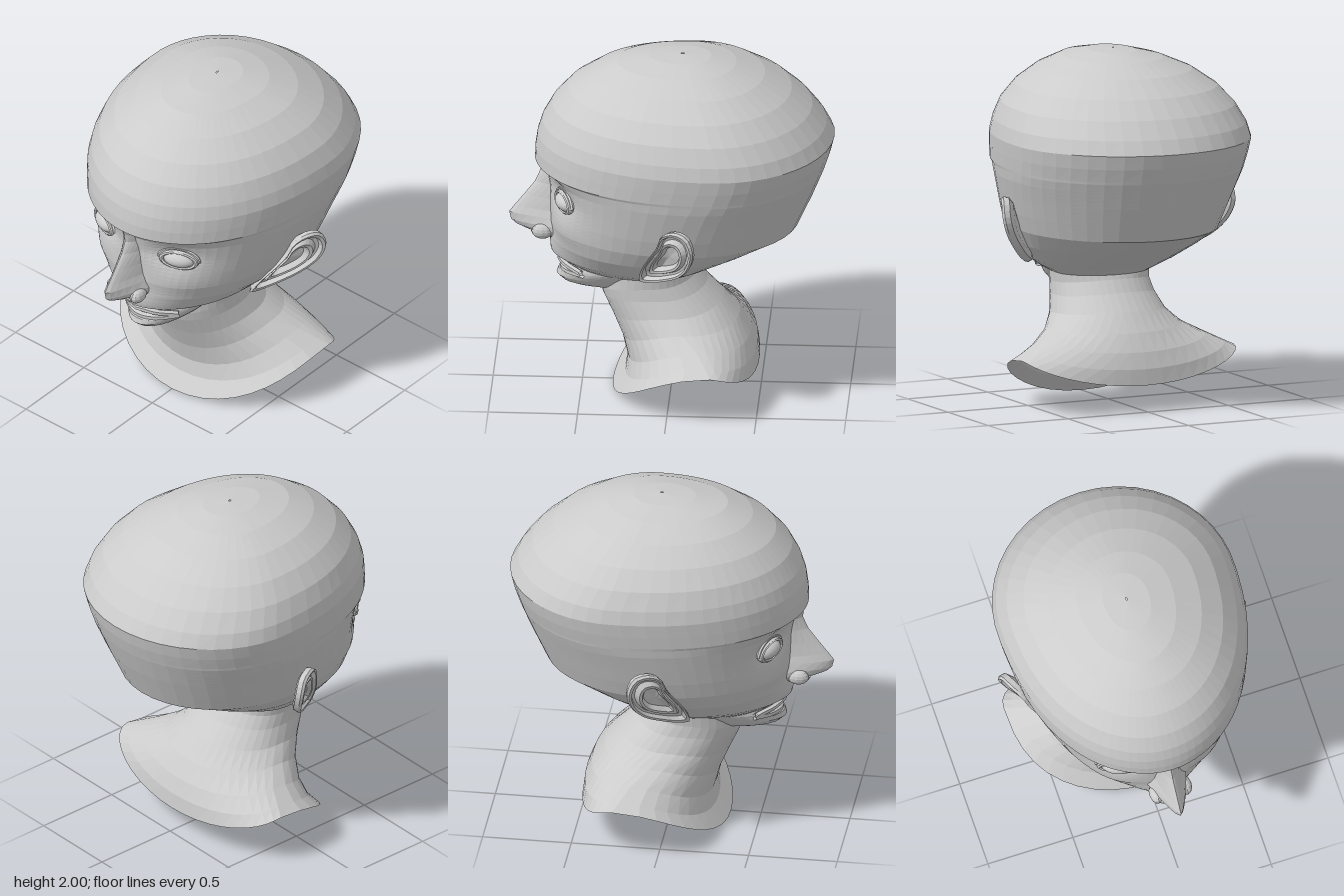
import * as THREE from 'three';

const skin = new THREE.MeshStandardMaterial({ color: 0xcccccc, flatShading: true, side: THREE.DoubleSide });
const smooth = new THREE.MeshStandardMaterial({ color: 0xcccccc });

function named(geometry, name, material = skin) {
  const mesh = new THREE.Mesh(geometry, material);
  mesh.name = name;
  return mesh;
}

// Skin a surface over rows of [x, y, z] points
function loft(rows, closed) {
  const n = rows[0].length, index = [];
  for (let r = 0; r < rows.length - 1; r++) {
    for (let c = 0; c < (closed ? n : n - 1); c++) {
      const a = r * n + c, b = r * n + (c + 1) % n;
      index.push(a, b, b + n, a, b + n, a + n);
    }
  }
  const g = new THREE.BufferGeometry();
  g.setAttribute('position', new THREE.Float32BufferAttribute(rows.flat(2), 3));
  g.setIndex(index);
  g.computeVertexNormals();
  return g;
}

function tube(points, radius, name) {
  const curve = new THREE.CatmullRomCurve3(points.map(p => new THREE.Vector3(...p)));
  return named(new THREE.TubeGeometry(curve, 20, radius, 6), name);
}

const bump = (x, y, cx, cy, rx, ry) => Math.exp(-(((x - cx) / rx) ** 2) - ((y - cy) / ry) ** 2);

// Skull and face: y, half width, z of the widest point, front z, back z
const headRows = [
  [0.72, 0.005, 0.1, 0.105, 0.095], [0.72, 0.27, 0.08, 0.54, -0.13], [0.76, 0.34, 0.06, 0.59, -0.2],
  [0.8, 0.4, 0.03, 0.64, -0.28], [0.9, 0.5, -0.02, 0.665, -0.5], [1.0, 0.565, -0.08, 0.68, -0.71],
  [1.1, 0.6, -0.1, 0.68, -0.755], [1.2, 0.63, -0.13, 0.685, -0.8], [1.3, 0.66, -0.17, 0.7, -0.84],
  [1.35, 0.67, -0.2, 0.735, -0.86], [1.365, 0.673, -0.2, 0.765, -0.865], [1.44, 0.685, -0.23, 0.762, -0.89],
  [1.52, 0.695, -0.25, 0.75, -0.91], [1.6, 0.677, -0.24, 0.725, -0.865], [1.7, 0.63, -0.2, 0.67, -0.785],
  [1.8, 0.545, -0.17, 0.58, -0.67], [1.89, 0.42, -0.13, 0.45, -0.52], [1.955, 0.27, -0.1, 0.31, -0.36],
  [1.99, 0.13, -0.07, 0.13, -0.22], [2.0, 0.004, -0.06, -0.05, -0.07],
];

function headGeometry() {
  const cols = 56, rows = [];
  const ring = ([y, w, zc, front, back]) => Array.from({ length: cols }, (_, i) => {
    const u = i / cols * Math.PI * 2, t = u - 0.4 * Math.sin(u);
    const c = Math.cos(t), x = w * Math.sin(t);
    let z = zc + (c > 0 ? (front - zc) * c ** 0.93 : (zc - back) * c);
    if (c > 0) { // eye sockets, cheeks and muzzle
      const ax = Math.abs(x);
      z += c * (0.035 * bump(x, y, 0, 0.81, 0.2, 0.09) + 0.02 * bump(ax, y, 0.32, 1.03, 0.12, 0.09)
        - 0.05 * bump(ax, y, 0.25, 1.23, 0.13, 0.08));
    }
    return [x, y, z];
  });
  headRows.forEach((row, i) => {
    const next = headRows[i + 1], steps = !next || row[0] > 1.34 || i === 0 ? 1 : 4;
    for (let k = 0; k < steps; k++) rows.push(ring(row.map((v, j) => next ? v + (next[j] - v) * k / steps : v)));
  });
  return loft(rows, true);
}

// Neck and shoulders: front z, y; side x, y, z; back z, y
const neckRows = [
  [0.33, 0.0, 0.66, 0.3, -0.25, -0.49, 0.15], [0.26, 0.09, 0.6, 0.33, -0.22, -0.48, 0.24],
  [0.245, 0.18, 0.5, 0.38, -0.17, -0.445, 0.33], [0.275, 0.3, 0.39, 0.44, -0.08, -0.38, 0.43],
  [0.33, 0.43, 0.32, 0.51, 0.0, -0.29, 0.535], [0.385, 0.55, 0.285, 0.6, 0.06, -0.2, 0.63],
  [0.4, 0.6, 0.275, 0.67, 0.1, -0.15, 0.7], [0.4, 0.73, 0.28, 0.74, 0.1, -0.13, 0.74],
];

function neckGeometry() {
  return loft(neckRows.map(([fz, fy, sx, sy, sz, bz, by], r) => Array.from({ length: 40 }, (_, i) => {
    const t = i / 40 * Math.PI * 2, c = Math.abs(Math.cos(t)), front = Math.cos(t) > 0;
    const q = front ? 0.71 + 0.29 * r / 7 : 0.9, p = c ** 1.5;
    return [sx * Math.sin(t), sy + ((front ? fy : by) - sy) * p, sz + ((front ? fz : bz) - sz) * c ** q];
  })), true);
}

// Lower jaw: y, half width, front z
function chinGeometry() {
  const rows = [[0.565, 0.06, 0.38], [0.585, 0.12, 0.46], [0.605, 0.155, 0.57], [0.617, 0.17, 0.61],
    [0.65, 0.2, 0.645], [0.68, 0.225, 0.635], [0.705, 0.245, 0.6], [0.73, 0.255, 0.57]];
  return loft(rows.map(([y, w, f]) => Array.from({ length: 21 }, (_, i) => {
    const t = (i / 20 - 0.5) * Math.PI;
    return [w * Math.sin(t), y + 0.02 * (1 - Math.cos(t)), 0.2 + (f - 0.2) * Math.cos(t)];
  })), false);
}

// Nose: y, half width, ridge z
function noseGeometry() {
  const rows = [[0.862, 0.05, 0.68], [0.885, 0.1, 0.735], [0.915, 0.125, 0.82], [0.94, 0.13, 0.875],
    [0.965, 0.128, 0.9], [1.01, 0.11, 0.91], [1.05, 0.095, 0.88], [1.12, 0.085, 0.825],
    [1.2, 0.08, 0.765], [1.27, 0.085, 0.735], [1.32, 0.1, 0.74], [1.36, 0.12, 0.755]];
  return loft(rows.map(([y, w, f]) => Array.from({ length: 13 }, (_, i) => {
    const s = i / 6 - 1;
    return [w * s, y, 0.61 + (f - 0.61) * (1 - Math.abs(s) ** 1.5)];
  })), false);
}

// Ear outline, from the lobe up the front edge and down the back
const earOutline = [
  [0.42, 0.79, 0.155], [0.47, 0.88, 0.145], [0.54, 0.98, 0.1], [0.6, 1.08, 0.05], [0.63, 1.16, 0.02],
  [0.68, 1.205, -0.05], [0.71, 1.185, -0.12], [0.72, 1.1, -0.155], [0.685, 1.0, -0.14],
  [0.605, 0.9, -0.08], [0.52, 0.835, 0.02], [0.45, 0.795, 0.1],
];

function earGeometry(side) {
  const curve = new THREE.CatmullRomCurve3(earOutline.map(p => new THREE.Vector3(...p)), true);
  const edge = curve.getSpacedPoints(36).slice(0, 36);
  const centre = new THREE.Vector3(0.6, 1.0, 0), out = new THREE.Vector3(0.82, -0.21, 0.53);
  // Scale and outward offset of each loop: back shell, rim, groove, inner fold, bowl
  const loops = [[0, -0.05], [0.75, -0.045], [0.95, -0.03], [1, 0], [0.96, 0.015], [0.87, 0.012],
    [0.8, -0.015], [0.7, -0.018], [0.6, 0.006], [0.5, 0.002], [0.38, -0.03], [0, -0.035]];
  return loft(loops.map(([k, d]) => edge.map(p => {
    const v = p.clone().lerp(centre, 1 - k).addScaledVector(out, d);
    return [side * v.x, v.y, v.z];
  })), true);
}

// Eyeball with a ring of lids and an upper crease
function eye(side) {
  const group = new THREE.Group();
  group.name = side > 0 ? 'leftEye' : 'rightEye';
  const ball = named(new THREE.SphereGeometry(1, 24, 16), 'eyeball', smooth);
  ball.scale.set(0.095, 0.05, 0.06);
  const lids = named(new THREE.TorusGeometry(0.1, 0.016, 8, 28), 'eyelids');
  lids.scale.set(1, 0.52, 1.3);
  lids.position.z = 0.015;
  const crease = named(new THREE.TorusGeometry(0.115, 0.012, 6, 20, Math.PI), 'eyelidCrease');
  crease.scale.set(1, 0.62, 1);
  crease.position.z = 0.01;
  group.add(ball, lids, crease);
  group.position.set(side * 0.265, 1.195, 0.575);
  group.rotation.y = side * 0.42;
  return group;
}

export function createModel() {
  const model = new THREE.Group();
  model.name = 'headBust';
  model.add(named(headGeometry(), 'head'), named(neckGeometry(), 'neck'),
    named(chinGeometry(), 'chin'), named(noseGeometry(), 'nose'));

  // Lips
  model.add(
    tube([[-0.19, 0.722, 0.5], [-0.1, 0.742, 0.59], [-0.03, 0.752, 0.622], [0, 0.747, 0.625],
      [0.03, 0.752, 0.622], [0.1, 0.742, 0.59], [0.19, 0.722, 0.5]], 0.018, 'upperLip'),
    tube([[-0.19, 0.712, 0.49], [-0.1, 0.7, 0.575], [0, 0.695, 0.61], [0.1, 0.7, 0.575], [0.19, 0.712, 0.49]],
      0.02, 'lowerLip'));

  for (const side of [1, -1]) {
    model.add(eye(side), named(earGeometry(side), side > 0 ? 'leftEar' : 'rightEar'));

    // Nostril wing and rim
    const wing = named(new THREE.SphereGeometry(1, 12, 8), 'nostrilWing');
    wing.scale.set(0.038, 0.045, 0.06);
    wing.position.set(side * 0.085, 0.93, 0.72);
    const rim = named(new THREE.TorusGeometry(0.026, 0.009, 6, 14), 'nostrilRim');
    rim.position.set(side * 0.05, 0.905, 0.755);
    rim.rotation.x = 1.0;
    model.add(wing, rim);
  }
  return model;
}
